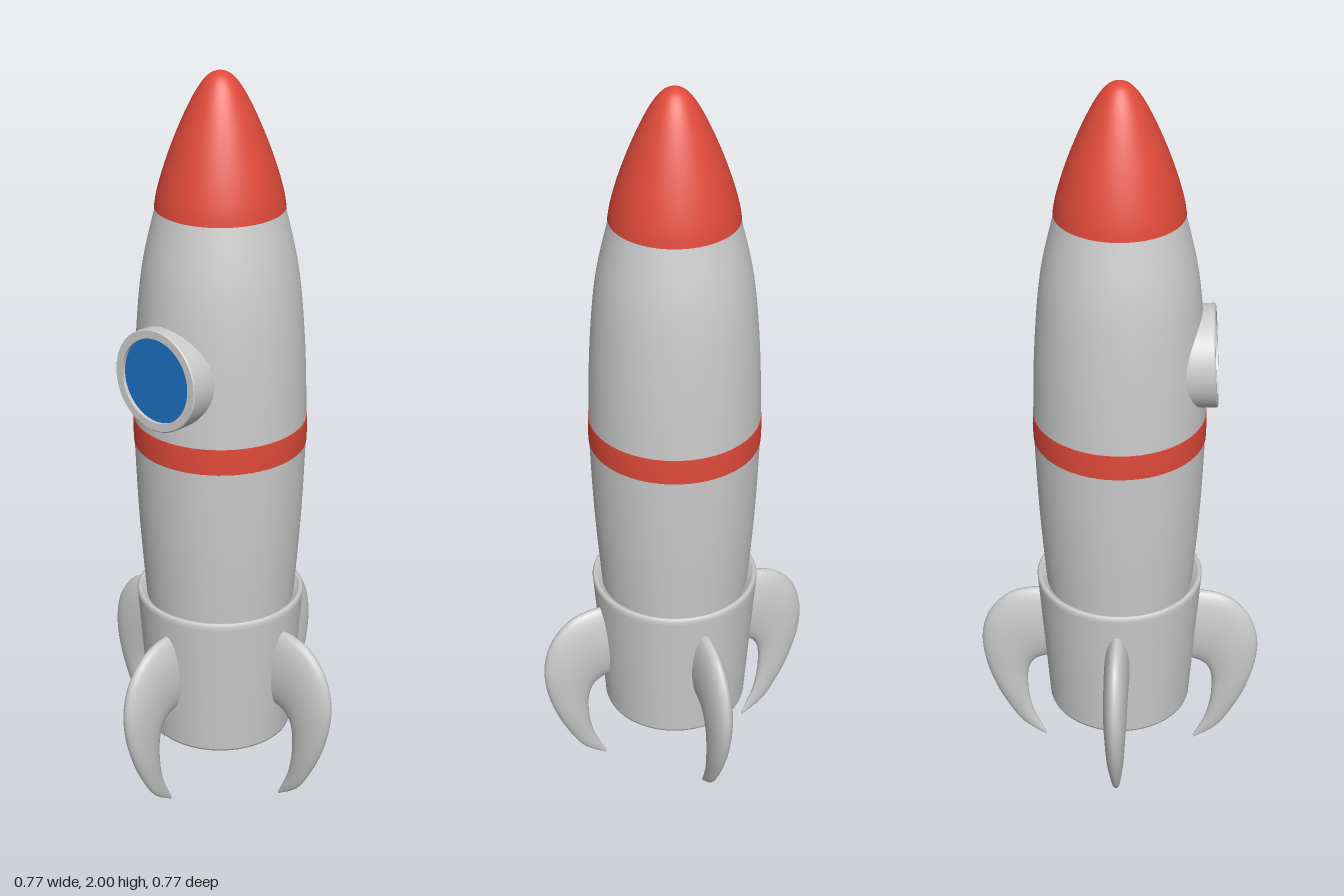
import * as THREE from 'three';

const grey = new THREE.MeshStandardMaterial({ color: 0xcccccc });
const red = new THREE.MeshStandardMaterial({ color: 0xe04a3a });
const blue = new THREE.MeshStandardMaterial({ color: 0x1b6fc0 });
const SEG = 64;

const v2 = (list) => list.map(([r, y]) => new THREE.Vector2(r, y));
const smooth = (list, n) => new THREE.SplineCurve(v2(list)).getPoints(n);

function add(parent, name, geometry, material) {
  const mesh = new THREE.Mesh(geometry, material);
  mesh.name = name;
  parent.add(mesh);
  return mesh;
}

// Lathe whose listed sections are joined without sharing normals, so edges stay sharp
function turned(parent, name, sections, material) {
  const group = new THREE.Group();
  group.name = name;
  sections.forEach((points) => add(group, name + 'Surface', new THREE.LatheGeometry(points, SEG), material));
  parent.add(group);
  return group;
}

// Hooked fin: oval sections lofted between an inner and an outer edge curve
function finGeometry() {
  const inner = [[0.17, 0.297], [0.21, 0.292], [0.237, 0.277], [0.251, 0.255], [0.258, 0.225],
    [0.259, 0.19], [0.256, 0.145], [0.243, 0.085], [0.226, 0.045], [0.21, 0.01]];
  // third value: half thickness
  const outer = [[0.17, 0.525, 0.034], [0.245, 0.524, 0.034], [0.305, 0.503, 0.033], [0.356, 0.447, 0.032],
    [0.38, 0.375, 0.03], [0.38, 0.3, 0.027], [0.357, 0.205, 0.023], [0.32, 0.12, 0.016],
    [0.274, 0.048, 0.01], [0.212, 0.002, 0.003]];
  const curve = (p) => new THREE.CatmullRomCurve3(p.map(([x, y, t = 0]) => new THREE.Vector3(x, y, t)));
  const a = curve(inner), b = curve(outer);
  const rings = 45, sides = 24, pos = [], index = [];
  for (let i = 0; i <= rings; i++) {
    const p = a.getPoint(i / rings), q = b.getPoint(i / rings);
    for (let j = 0; j < sides; j++) {
      const angle = (j / sides) * Math.PI * 2;
      const k = 0.5 + 0.5 * Math.cos(angle);
      pos.push(p.x + (q.x - p.x) * k, p.y + (q.y - p.y) * k, q.z * Math.sin(angle) - 0.004);
      if (i < rings) {
        const n = i * sides + j, m = i * sides + (j + 1) % sides;
        index.push(n, m, n + sides, m, m + sides, n + sides);
      }
    }
  }
  // tip cap
  const base = rings * sides;
  for (let j = 1; j < sides - 1; j++) index.push(base, base + j, base + j + 1);
  const g = new THREE.BufferGeometry();
  g.setAttribute('position', new THREE.Float32BufferAttribute(pos, 3));
  g.setIndex(index);
  g.computeVertexNormals();
  return g;
}

export function createModel() {
  const rocket = new THREE.Group();
  rocket.name = 'rocket';

  // Hull with its painted band
  const hull = new THREE.SplineCurve(v2([[0.19, 0.5], [0.199, 0.6], [0.213, 0.8], [0.221, 1.0], [0.222, 1.1],
    [0.215, 1.3], [0.196, 1.5], [0.158, 1.67]]));
  add(rocket, 'hull', new THREE.LatheGeometry(hull.getPoints(40), SEG), grey);
  turned(rocket, 'band', [
    v2([[0.215, 1.03], [0.2235, 1.03]]),
    v2([[0.2235, 1.03], [0.2245, 1.065], [0.2235, 1.1]]),
    v2([[0.2235, 1.1], [0.215, 1.1]]),
  ], red);

  // Nose cone
  turned(rocket, 'noseCone', [
    v2([[0, 1.66], [0.161, 1.66]]),
    smooth([[0.163, 1.66], [0.156, 1.7], [0.139, 1.76], [0.114, 1.83], [0.084, 1.9], [0.055, 1.955],
      [0.028, 1.988], [0, 2]], 36),
  ], red);

  // Engine skirt with a rounded upper lip and a closed floor
  turned(rocket, 'engineSkirt', [
    v2([[0, 0.18], [0.188, 0.18]]),
    v2([[0.188, 0.18], [0.192, 0.182], [0.194, 0.188]]),
    v2([[0.194, 0.188], [0.222, 0.575]]),
    v2([[0.222, 0.575], [0.223, 0.587], [0.219, 0.594], [0.212, 0.594], [0.208, 0.588]]),
    v2([[0.208, 0.588], [0.19, 0.57]]),
  ], grey);

  // Porthole, turned about its own axis and tipped slightly upward
  const porthole = new THREE.Group();
  porthole.name = 'porthole';
  turned(porthole, 'portholeFrame', [
    v2([[0.132, -0.12], [0.132, -0.003]]),
    v2([[0.132, -0.003], [0.129, 0]]),
    v2([[0.129, 0], [0.109, 0]]),
    v2([[0.109, 0], [0.109, -0.015]]),
  ], grey);
  const glass = add(porthole, 'portholeGlass', new THREE.CircleGeometry(0.11, SEG), blue);
  glass.rotation.x = -Math.PI / 2;
  glass.position.y = -0.01;
  porthole.position.set(0, 1.27, 0.246);
  porthole.rotation.x = Math.PI / 2 - 0.057;
  rocket.add(porthole);

  // Four fins
  const fin = finGeometry();
  ['leftFin', 'backFin', 'rightFin', 'frontFin'].forEach((name, i) => {
    add(rocket, name, fin, grey).rotation.y = (i * Math.PI) / 2;
  });

  return rocket;
}
